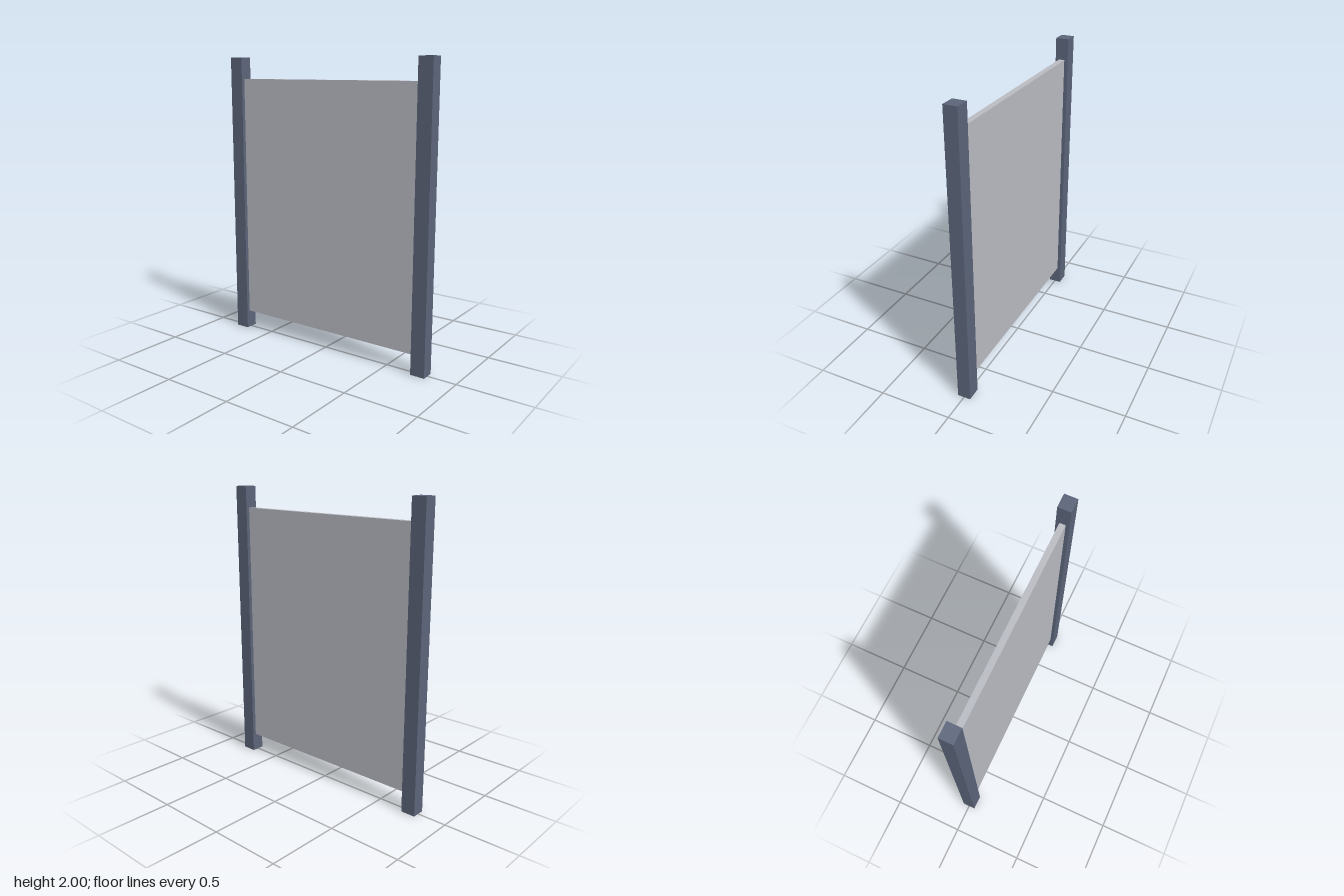
import * as THREE from 'three';

export function createModel() {
  const model = new THREE.Group();
  model.name = 'panelBetweenPosts';

  const postMaterial = new THREE.MeshStandardMaterial({ color: 0x5b6479 });
  postMaterial.name = 'slate blue';
  const panelMaterial = new THREE.MeshStandardMaterial({ color: 0xb9bbc2 });
  panelMaterial.name = 'pale grey';

  function addBox(name, size, position, material) {
    const mesh = new THREE.Mesh(new THREE.BoxGeometry(...size), material);
    mesh.name = name;
    mesh.position.set(...position);
    model.add(mesh);
  }

  // Full-height square posts at both ends
  for (const [name, side] of [['leftPost', 1], ['rightPost', -1]]) {
    addBox(name, [0.1, 2, 0.09], [side * 0.75, 1, 0], postMaterial);
  }

  // Thin panel held between the posts, clear of the ground
  addBox('panel', [1.4, 1.725, 0.04], [0, 0.99, 0], panelMaterial);

  return model;
}
